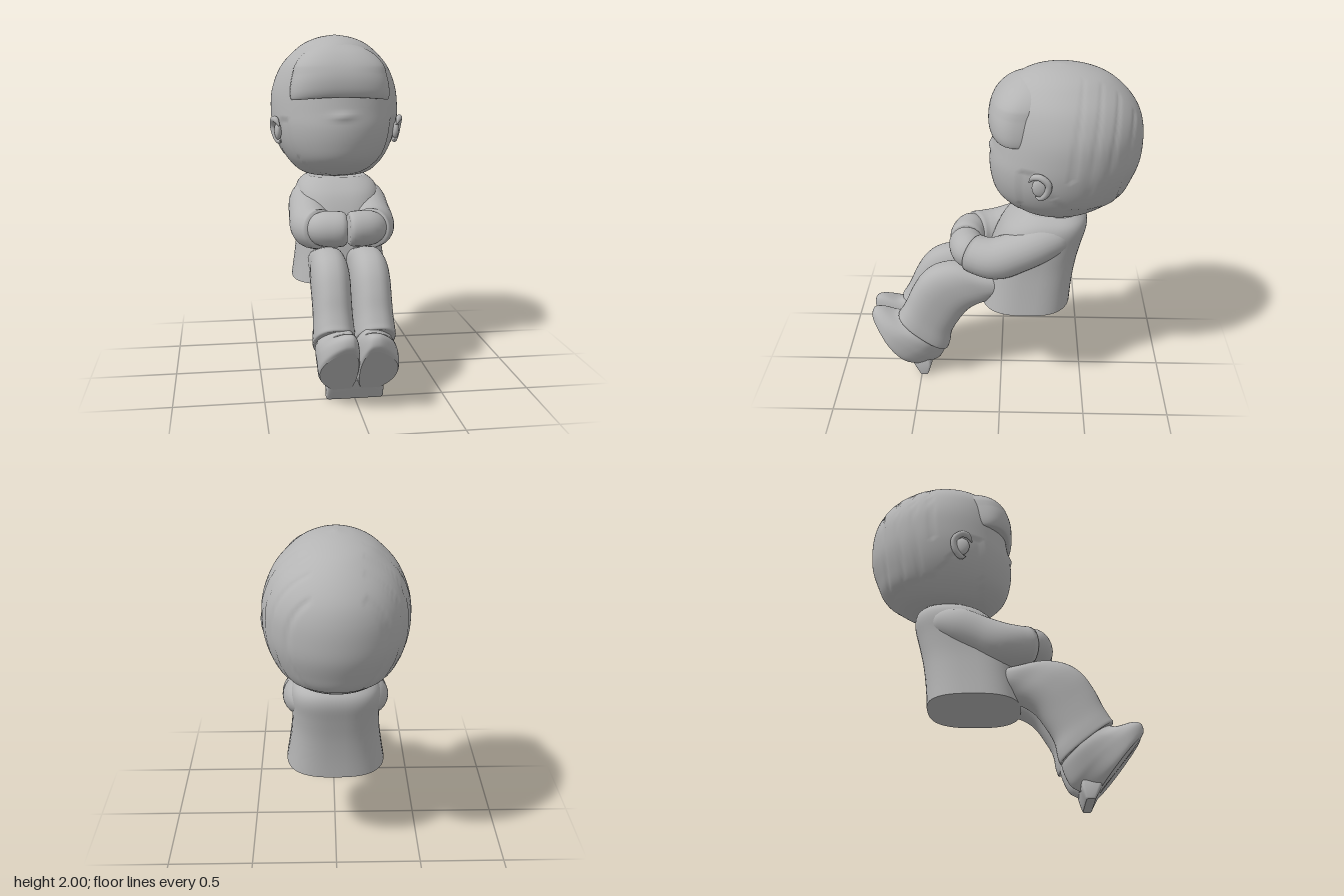
import * as THREE from 'three';
import { mergeVertices } from 'three/addons/utils/BufferGeometryUtils.js';

// Smooth interpolation through rows of numbers
function sampleRows(rows, t) {
  const f = t * (rows.length - 1), i = Math.min(Math.floor(f), rows.length - 2), s = f - i;
  const at = k => rows[Math.max(0, Math.min(rows.length - 1, k))];
  return rows[i].map((_, c) => {
    const [p0, p1, p2, p3] = [at(i - 1)[c], at(i)[c], at(i + 1)[c], at(i + 2)[c]];
    const m1 = (p2 - p0) / 2, m2 = (p3 - p1) / 2;
    return (2 * p1 - 2 * p2 + m1 + m2) * s ** 3 + (3 * p2 - 3 * p1 - 2 * m1 - m2) * s * s + m1 * s + p1;
  });
}

// Loft of rounded sections; each row is [frontZ, frontY, backZ, backY, halfWidth]
function loft(rows, { cx = 0, power = 2, seg = 40, steps = 24, taper = 0, smooth = true, rule } = {}) {
  const pos = [], idx = [];
  const pw = v => Math.sign(v) * Math.abs(v) ** (2 / power);
  const n = smooth ? steps : rows.length - 1;
  for (let i = 0; i <= n; i++) {
    const [az, ay, bz, by, w] = smooth ? sampleRows(rows, i / n) : rows[i];
    for (let j = 0; j < seg; j++) {
      const a = j / seg * Math.PI * 2, t = pw(Math.sin(a));
      const p = new THREE.Vector3((cx + w * pw(Math.cos(a))) * (1 - taper * t * t),
        (ay + by) / 2 + (ay - by) / 2 * t, (az + bz) / 2 + (az - bz) / 2 * t);
      if (rule) rule(p);
      pos.push(p.x, p.y, p.z);
    }
  }
  for (let i = 0; i < n; i++) for (let j = 0; j < seg; j++) {
    const k = (j + 1) % seg, a = i * seg + j, b = i * seg + k;
    idx.push(a, a + seg, b, b, a + seg, b + seg);
  }
  // Flat end caps with their own vertices
  for (const end of [0, n]) {
    const ring = pos.slice(end * seg * 3, (end + 1) * seg * 3), base = pos.length / 3;
    const mid = [0, 0, 0];
    ring.forEach((v, k) => { mid[k % 3] += v / seg; });
    pos.push(...ring, ...mid);
    for (let j = 0; j < seg; j++) {
      const a = base + j, b = base + (j + 1) % seg;
      idx.push(base + seg, ...(end ? [b, a] : [a, b]));
    }
  }
  const g = new THREE.BufferGeometry();
  g.setAttribute('position', new THREE.Float32BufferAttribute(pos, 3));
  g.setIndex(idx);
  g.computeVertexNormals();
  return g;
}

// Tube along points [x, y, z, radius]
function limb(points, steps = 28, sides = 24) {
  const curve = new THREE.CatmullRomCurve3(points.map(p => new THREE.Vector3(p[0], p[1], p[2])));
  const g = new THREE.TubeGeometry(curve, steps, 1, sides);
  const P = g.attributes.position, v = new THREE.Vector3();
  for (let i = 0; i < P.count; i++) {
    const u = Math.floor(i / (sides + 1)) / steps, c = curve.getPointAt(u);
    const t = curve.getUtoTmapping(u);
    const r = Math.max(0.001, sampleRows(points.map(p => [p[3]]), t)[0]);
    v.fromBufferAttribute(P, i).sub(c).multiplyScalar(r).add(c);
    P.setXYZ(i, v.x, v.y, v.z);
  }
  g.deleteAttribute('uv');
  g.deleteAttribute('normal');
  const m = mergeVertices(g, 1e-5);
  m.computeVertexNormals();
  return m;
}

function mirrored(geometry) {
  const g = geometry.clone().scale(-1, 1, 1), a = g.index.array;
  for (let i = 0; i < a.length; i += 3) [a[i], a[i + 1]] = [a[i + 1], a[i]];
  g.computeVertexNormals();
  return g;
}

export function createModel() {
  const model = new THREE.Group();
  model.name = 'seatedFigure';
  const grey = new THREE.MeshStandardMaterial({ color: 0xb4b4b4 });
  grey.name = 'plainGrey';
  const add = (name, g) => {
    const m = new THREE.Mesh(g, grey);
    m.name = name;
    model.add(m);
  };
  const pair = (name, g) => {
    add(name + 'Left', g);
    add(name + 'Right', mirrored(g));
  };
  const level = ([y, zf, zb, w]) => [zf, y, zb, y, w];

  // Head: the face sits a little inside the hair, which has shallow streaks
  const headRule = p => {
    const { y, z } = p;
    const line = z > -0.1 ? 1.66 : z > -0.17 ? 1.5 : z > -0.37 ? 1.42 - (-0.23 - z) : 1.27 - (-0.37 - z) * 0.1;
    let k = 1;
    if (y < line) k = 0.978;
    else if (z < -0.38 && Math.abs(p.x) > 0.13) {
      k = 1 - 0.018 * Math.max(0, Math.sin((z + 0.12 * (y - 1.5)) * 62)) ** 4;
    }
    if (z < -0.1 || y > line) {
      p.x *= k;
      p.z = -0.36 + (z + 0.36) * k;
    }
    // Small nose
    if (z > -0.1) p.z += 0.014 * Math.exp(-((p.x / 0.07) ** 2) - ((y - 1.53) / 0.02) ** 2);
  };
  add('head', loft([
    [1.148, -0.2, -0.46, 0.13], [1.165, -0.11, -0.53, 0.2], [1.2, -0.04, -0.61, 0.255],
    [1.27, 0.03, -0.7, 0.315], [1.36, 0.06, -0.745, 0.36], [1.46, 0.068, -0.78, 0.385],
    [1.56, 0.052, -0.79, 0.392], [1.66, 0.035, -0.785, 0.385], [1.75, 0.02, -0.76, 0.358],
    [1.83, -0.005, -0.71, 0.315], [1.9, -0.05, -0.64, 0.25], [1.95, -0.11, -0.56, 0.185],
    [1.985, -0.2, -0.45, 0.1], [2, -0.31, -0.34, 0.01],
  ].map(level), { seg: 120, steps: 80, rule: headRule }));

  // Fringe with a nearly straight lower edge
  add('fringe', loft([
    [1.64, 0.035, -0.24, 0.275], [1.645, 0.058, -0.25, 0.29], [1.69, 0.072, -0.26, 0.295],
    [1.76, 0.068, -0.27, 0.285], [1.83, 0.04, -0.28, 0.262], [1.89, -0.012, -0.3, 0.21],
    [1.93, -0.075, -0.3, 0.14], [1.955, -0.13, -0.3, 0.07],
  ].map(level), {
    power: 2.5, seg: 64, steps: 32,
    rule: p => { p.y -= 0.25 * p.x * p.x * (p.y < 1.8 ? 1 : 0.3); },
  }));

  // Ears: lobe and curved rim
  const lobe = new THREE.SphereGeometry(1, 20, 14).scale(0.022, 0.055, 0.045).translate(0.36, 1.43, -0.215);
  pair('ear', lobe);
  pair('earRim', limb([
    [0.355, 1.46, -0.155, 0.004], [0.373, 1.495, -0.18, 0.017], [0.385, 1.5, -0.215, 0.019],
    [0.387, 1.46, -0.258, 0.019], [0.375, 1.4, -0.25, 0.018], [0.355, 1.365, -0.215, 0.016],
    [0.35, 1.37, -0.19, 0.002],
  ], 28, 12));

  // Torso, squared at the back with a flat base
  add('torso', loft([
    [0.55, 0.12, -0.415, 0.288], [0.68, 0.1, -0.425, 0.268], [0.82, 0.08, -0.445, 0.252],
    [0.95, 0.04, -0.475, 0.25], [1.05, -0.01, -0.5, 0.252], [1.11, -0.07, -0.495, 0.23],
    [1.15, -0.13, -0.465, 0.18],
  ].map(level), { power: 2.7, seg: 56 }));

  // Folded arms and hands meeting in the middle
  pair('sleeve', limb([
    [0.15, 1.04, -0.42, 0.002], [0.165, 1.03, -0.36, 0.075], [0.18, 0.995, -0.24, 0.115],
    [0.185, 0.93, -0.1, 0.122], [0.185, 0.885, 0.02, 0.125], [0.165, 0.885, 0.11, 0.117],
    [0.13, 0.895, 0.175, 0.104], [0.125, 0.895, 0.18, 0.002],
  ]));
  pair('hand', limb([
    [0.2, 0.9, 0.13, 0.002], [0.185, 0.9, 0.145, 0.07], [0.14, 0.9, 0.18, 0.1],
    [0.07, 0.9, 0.203, 0.104], [0.02, 0.9, 0.208, 0.098], [0, 0.9, 0.208, 0.07], [0, 0.9, 0.207, 0.002],
  ]));

  // Trouser legs from cuff to hip
  pair('trouserLeg', loft([
    [0.605, 0.42, 0.345, 0.215, 0.095], [0.628, 0.435, 0.33, 0.205, 0.114], [0.61, 0.465, 0.315, 0.25, 0.115],
    [0.575, 0.53, 0.3, 0.33, 0.109], [0.535, 0.62, 0.25, 0.42, 0.108], [0.475, 0.715, 0.2, 0.49, 0.11],
    [0.39, 0.78, 0.14, 0.535, 0.108], [0.26, 0.805, 0.08, 0.56, 0.1], [0.12, 0.775, 0.03, 0.6, 0.1],
    [0.02, 0.75, -0.02, 0.62, 0.09],
  ], { cx: 0.113, power: 2.4, steps: 36 }));

  // Shoes with a flat slanted sole and a small heel block
  pair('shoe', loft([
    [0.782, 0.362, 0.53, 0.05, 0.104], [0.8, 0.4, 0.48, 0.045, 0.111], [0.785, 0.445, 0.42, 0.07, 0.112],
    [0.735, 0.45, 0.38, 0.1, 0.112], [0.65, 0.425, 0.345, 0.18, 0.11], [0.59, 0.44, 0.335, 0.24, 0.09],
  ], { cx: 0.109, power: 2.6, taper: 0.36 }));
  add('heelBlock', loft([
    [0.51, 0, 0.462, 0, 0.155], [0.515, 0.01, 0.455, 0.01, 0.16],
    [0.55, 0.075, 0.435, 0.07, 0.16], [0.57, 0.13, 0.44, 0.12, 0.14],
  ], { power: 8, smooth: false }));

  return model;
}
